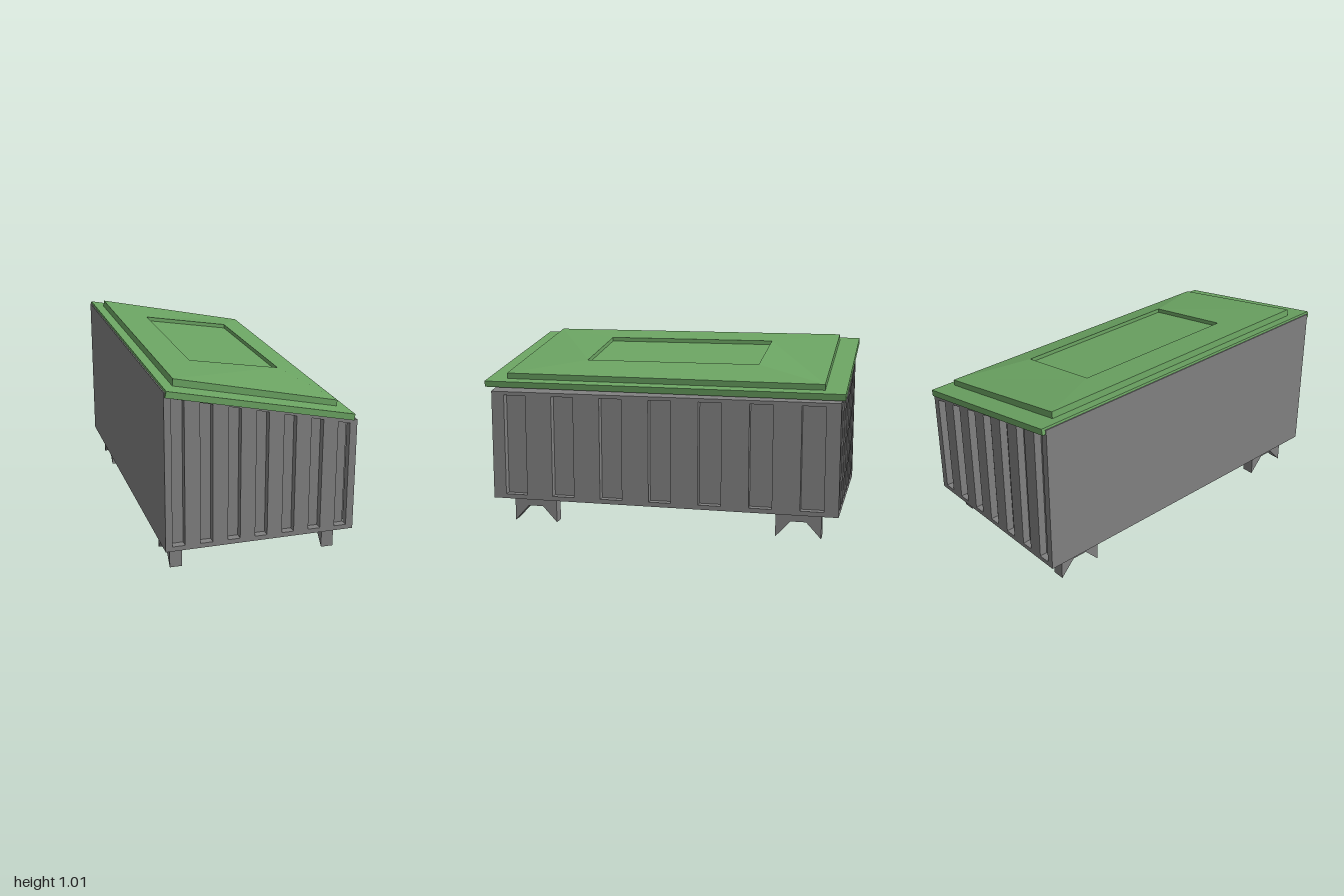
import * as THREE from 'three';

const grey = new THREE.MeshStandardMaterial({ color: 0x808080 });
grey.name = 'grey metal';
const green = new THREE.MeshStandardMaterial({ color: 0x6ca563 });
green.name = 'green lid';

const X = 0.505, FRONT = 0.945, BACK = -0.98, BASE = 0.14;
const SKIN = 0.004, DEPTH = 0.042;
const MID = (FRONT + BACK) / 2, LENGTH = FRONT - BACK;

// height of the sloping body top
const topY = x => 0.98 - 0.233 * (x + X);

const path = (points, Type = THREE.Shape) =>
  new Type(points.map(([x, y]) => new THREE.Vector2(x, y)));

function extrude(name, points, depth, z = 0, holes = []) {
  const shape = path(points);
  shape.holes = holes.map(h => path(h, THREE.Path));
  const geometry = new THREE.ExtrudeGeometry(shape, { depth, bevelEnabled: false });
  geometry.translate(0, 0, z);
  const mesh = new THREE.Mesh(geometry, grey);
  mesh.name = name;
  return mesh;
}

// thin sheet with slots, each slot lined by a frame reaching inward;
// outer face at local z = 0, dir gives the inward direction
function slottedWall(name, outline, slots, dir) {
  const wall = new THREE.Group();
  wall.name = name;
  wall.add(extrude(name + 'Sheet', outline, SKIN, dir < 0 ? -SKIN : 0, slots));
  for (const s of slots) {
    const e = 0.003;
    const outer = [[s[0][0] - e, s[0][1] - e], [s[1][0] + e, s[1][1] - e],
      [s[2][0] + e, s[2][1] + e], [s[3][0] - e, s[3][1] + e]];
    const depth = DEPTH - 0.001;
    wall.add(extrude(name + 'Recess', outer, depth, dir < 0 ? -depth - 0.001 : 0.001, [s]));
  }
  return wall;
}

// joins rings of four corners, closing the last ring and optionally the first
function loft(name, rings, closeBottom) {
  const p = [];
  const quad = (a, b, c, d) => p.push(...a, ...b, ...c, ...a, ...c, ...d);
  for (let r = 0; r < rings.length - 1; r++) {
    for (let i = 0; i < 4; i++) {
      const j = (i + 1) % 4;
      quad(rings[r][i], rings[r][j], rings[r + 1][j], rings[r + 1][i]);
    }
  }
  quad(...rings[rings.length - 1]);
  if (closeBottom) quad(...rings[0].slice().reverse());
  const geometry = new THREE.BufferGeometry();
  geometry.setAttribute('position', new THREE.Float32BufferAttribute(p, 3));
  geometry.computeVertexNormals();
  const mesh = new THREE.Mesh(geometry, green);
  mesh.name = name;
  return mesh;
}

export function createModel() {
  const model = new THREE.Group();
  model.name = 'dumpster';

  // inner tub behind the slotted walls
  const inL = -X + 0.012, inR = X - DEPTH;
  model.add(extrude('tub',
    [[inL, BASE], [inR, BASE], [inR, topY(inR) - 0.01], [inL, topY(inL) - 0.01]],
    LENGTH - 2 * DEPTH, BACK + DEPTH));

  // sloping top plate and plain left-hand wall
  model.add(extrude('topPlate',
    [[-X, topY(-X) - 0.012], [X, topY(X) - 0.012], [X, topY(X)], [-X, topY(-X)]], LENGTH, BACK));
  model.add(extrude('plainWall',
    [[-X, BASE], [-X + SKIN, BASE], [-X + SKIN, topY(-X) - 0.005], [-X, topY(-X) - 0.005]],
    LENGTH, BACK));

  // end walls with slots that follow the slope
  const endOutline = [[-X, BASE], [X, BASE], [X, topY(X)], [-X, topY(-X)]];
  const endSlots = [];
  const sideSlots = [];
  for (let i = 0; i < 7; i++) {
    const a = -0.469 + i * 0.145, b = a + 0.065;
    endSlots.push([[a, 0.165], [b, 0.165], [b, topY(b) - 0.026], [a, topY(a) - 0.026]]);
    const c = -0.81 + i * 0.275, h = 0.0625;
    sideSlots.push([[c - h, 0.165], [c + h, 0.165], [c + h, 0.725], [c - h, 0.725]]);
  }
  const front = slottedWall('frontWall', endOutline, endSlots, -1);
  front.position.z = FRONT;
  const back = slottedWall('backWall', endOutline, endSlots, 1);
  back.position.z = BACK;

  // long low wall, drawn with u = -z and turned into place
  const side = slottedWall('lowSideWall',
    [[-FRONT, BASE], [-BACK, BASE], [-BACK, topY(X)], [-FRONT, topY(X)]], sideSlots, -1);
  side.rotation.y = Math.PI / 2;
  side.position.x = X;
  model.add(front, back, side);

  // notched feet
  for (const x of [-0.4275, 0.4075]) {
    for (const z of [0.7225, -0.7625]) {
      const foot = extrude('foot', [[-0.123, 0], [-0.042, 0.088], [0.042, 0.088],
        [0.123, 0], [0.123, BASE + 0.005], [-0.123, BASE + 0.005]], 0.066, -0.033);
      foot.rotation.y = Math.PI / 2;
      foot.position.set(x, 0, z);
      model.add(foot);
    }
  }

  // lid: slightly skewed rim slab
  model.add(loft('lidRim', [
    [[-0.502, 0.957, 0.96], [0.462, 0.762, 1], [0.485, 0.755, -1], [-0.502, 0.957, -1]],
    [[-0.495, 0.99, 0.96], [0.467, 0.795, 1], [0.49, 0.79, -1], [-0.495, 0.99, -1]],
  ], true));

  // lid: raised step, shallow pyramid and sunken panel
  const rect = (x, yL, yR) => [[-x, yL, 0.465], [x, yR, 0.465], [x, yR, -0.508], [-x, yL, -0.508]];
  model.add(loft('lidDome', [
    [[-0.438, 0.97, 0.85], [0.413, 0.8, 0.885], [0.436, 0.795, -0.888], [-0.438, 0.97, -0.888]],
    [[-0.434, 1.015, 0.85], [0.417, 0.837, 0.885], [0.44, 0.832, -0.888], [-0.434, 1.015, -0.888]],
    rect(0.245, 0.985, 0.903),
    rect(0.245, 0.963, 0.881),
  ], false));

  return model;
}
